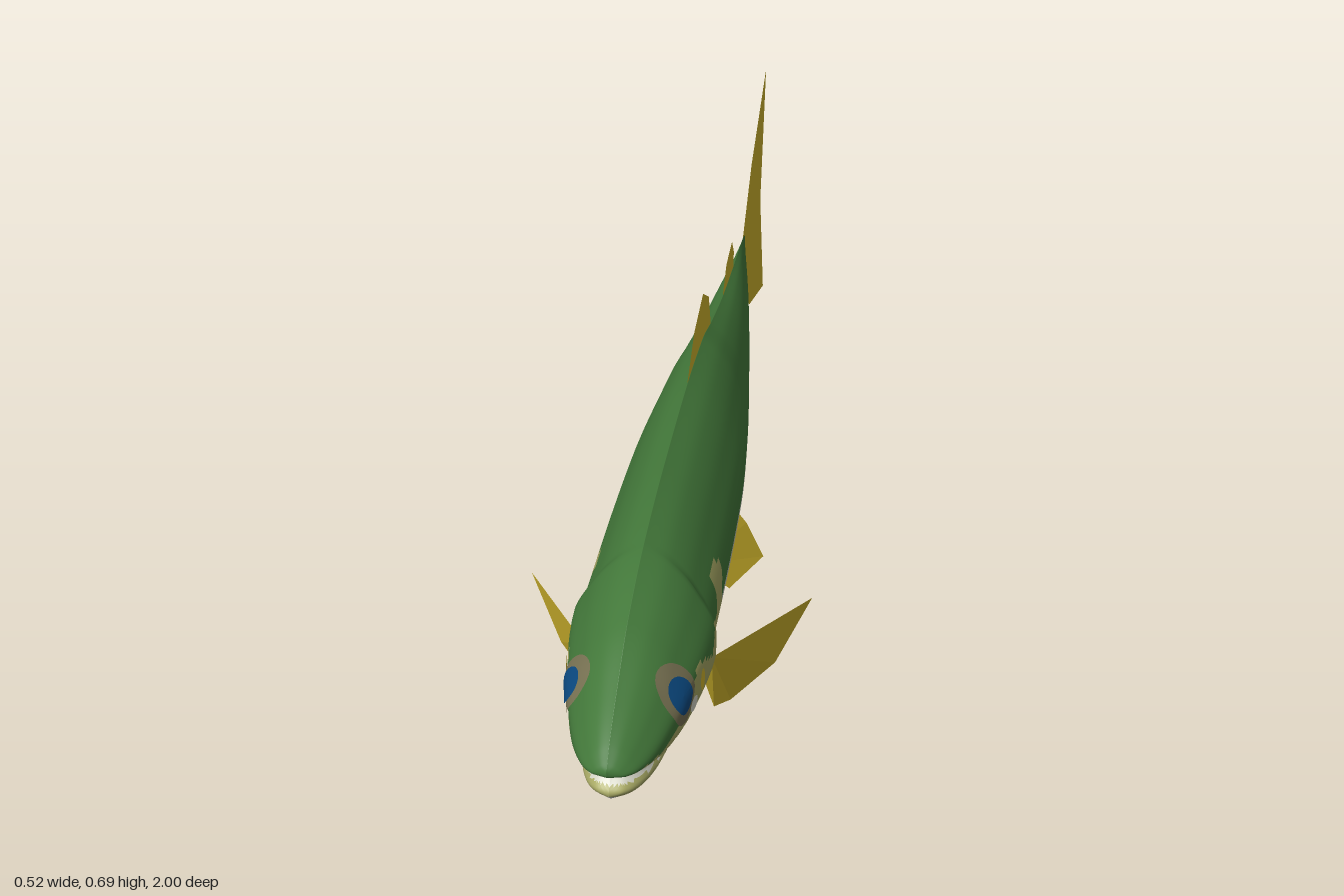
import * as THREE from 'three';

const mat = (name, color, side = THREE.FrontSide) => {
  const m = new THREE.MeshStandardMaterial({ color, side });
  m.name = name;
  return m;
};

// Smooth monotone curve through [position, value] pairs in ascending order
function curve(pts) {
  const n = pts.length - 1;
  const d = pts.slice(1).map((p, i) => (p[1] - pts[i][1]) / (p[0] - pts[i][0]));
  const tan = pts.map((_, i) => {
    if (i === 0) return d[0];
    if (i === n) return d[n - 1];
    return d[i - 1] * d[i] > 0 ? (2 * d[i - 1] * d[i]) / (d[i - 1] + d[i]) : 0;
  });
  return (x) => {
    let i = 0;
    while (i < n - 1 && x > pts[i + 1][0]) i++;
    const h = pts[i + 1][0] - pts[i][0];
    const t = THREE.MathUtils.clamp((x - pts[i][0]) / h, 0, 1);
    const t2 = t * t, t3 = t2 * t;
    return (2 * t3 - 3 * t2 + 1) * pts[i][1] + (t3 - 2 * t2 + t) * h * tan[i]
      + (3 * t2 - 2 * t3) * pts[i + 1][1] + (t3 - t2) * h * tan[i + 1];
  };
}

// Body outline along z, and the section's width from top (0) to bottom (1)
const top = curve([[-0.64, 0.445], [-0.6, 0.457], [-0.45, 0.468], [-0.3, 0.482], [-0.12, 0.515], [0, 0.543],
  [0.2, 0.555], [0.45, 0.547], [0.65, 0.525], [0.8, 0.482], [0.9, 0.425], [0.97, 0.375], [1, 0.34]]);
const bottom = curve([[-0.64, 0.34], [-0.6, 0.315], [-0.45, 0.297], [-0.3, 0.252], [-0.12, 0.192], [0, 0.161],
  [0.2, 0.147], [0.45, 0.153], [0.65, 0.17], [0.8, 0.198], [0.9, 0.226], [0.95, 0.246], [0.985, 0.275], [1, 0.31]]);
const width = curve([[-0.64, 0], [-0.6, 0.008], [-0.4, 0.04], [-0.2, 0.067], [0, 0.09], [0.2, 0.105], [0.4, 0.11],
  [0.64, 0.112], [0.655, 0.122], [0.7, 0.119], [0.8, 0.103], [0.9, 0.078], [0.96, 0.053], [0.99, 0.03], [1, 0]]);
const section = curve([[0, 0], [0.09, 0.38], [0.23, 0.72], [0.45, 1], [0.58, 1], [0.77, 0.82], [0.87, 0.6], [1, 0]]);
const halfWidth = (z, y) => width(z) * section((top(z) - y) / (top(z) - bottom(z)));

// Mouth line, colour boundaries
const mouthY = curve([[0.79, 0.258], [0.85, 0.276], [0.92, 0.292], [1, 0.308]]);
const backEdge = curve([[-0.64, 0.36], [-0.45, 0.348], [-0.2, 0.325], [0.5, 0.328], [0.65, 0.335], [0.655, 0.385],
  [0.69, 0.34], [0.76, 0.375], [0.82, 0.325], [0.9, 0.318], [1, 0.325]]);
const chinEdge = curve([[0.64, 0.2], [0.8, 0.222], [0.93, 0.25], [1, 0.285]]);
const mouthDepth = (z, y) => z < 0.79 ? 0
  : Math.exp(-(((y - mouthY(z)) / 0.013) ** 2)) * THREE.MathUtils.smoothstep(z, 0.79, 0.84);

// Material slot: 0 back, 1 belly, 2 olive, 3 mouth dark, 4 mouth pale
function bodySlot(z, y) {
  if (mouthDepth(z, y) > 0.5) return y > mouthY(z) + 0.002 ? 3 : 4;
  if (z < -0.615 || (z < -0.53 && y < 0.36)) return y > 0.42 ? 0 : 2;
  if (z > 0.65) return y > backEdge(z) ? 0 : y > chinEdge(z) ? 2 : 1;
  if (z > 0.5 && z < 0.575 && y > 0.285 && y < 0.41) return 2;
  if (z >= 0.575 && y > 0.27 && y < 0.335) return 2;
  return y > backEdge(z) ? 0 : 1;
}

function bodyGeometry() {
  const half = 44, cols = half * 2, rows = 190;
  const zs = [], ss = [], pos = [];
  for (let i = 0; i <= rows; i++) zs.push(-0.64 + 1.64 * (1 - (i / rows) ** 1.7));
  for (let j = 0; j < cols; j++) ss.push((1 - Math.cos((Math.PI * j) / half)) / 2);
  const yAt = (z, s) => top(z) + (bottom(z) - top(z)) * s;
  for (const z of zs) {
    for (let j = 0; j < cols; j++) {
      const y = yAt(z, ss[j]), g = mouthDepth(z, y);
      const x = (j <= half ? 1 : -1) * width(z) * section(ss[j]);
      pos.push(x * (1 - 0.3 * g), y, z - 0.03 * g * THREE.MathUtils.smoothstep(z, 0.9, 1));
    }
  }
  const slots = [[], [], [], [], []];
  for (let i = 0; i < rows; i++) {
    for (let j = 0; j < cols; j++) {
      const k = (j + 1) % cols;
      const a = i * cols + j, b = a + cols, c = i * cols + k, d = c + cols;
      const z = (zs[i] + zs[i + 1]) / 2;
      slots[bodySlot(z, yAt(z, (ss[j] + ss[k]) / 2))].push(a, c, b, c, d, b);
    }
  }
  const geo = new THREE.BufferGeometry();
  geo.setAttribute('position', new THREE.Float32BufferAttribute(pos, 3));
  geo.setIndex(slots.flat());
  let start = 0;
  slots.forEach((s, i) => { geo.addGroup(start, s.length, i); start += s.length; });
  geo.computeVertexNormals();
  return geo;
}

// Thin oval plate lying on the body's side
function patch(side, zc, yc, rz, ry, lift) {
  const geo = new THREE.RingGeometry(0, 1, 32, 4), p = geo.attributes.position;
  for (let i = 0; i < p.count; i++) {
    const z = zc - side * p.getX(i) * rz, y = yc + p.getY(i) * ry;
    p.setXYZ(i, side * (halfWidth(z, y) + lift), y, z);
  }
  geo.computeVertexNormals();
  return geo;
}

// Flat fin on the centre line from [z, y] corners
const medianFin = (pts) =>
  new THREE.ShapeGeometry(new THREE.Shape(pts.map((p) => new THREE.Vector2(...p)))).rotateY(-Math.PI / 2);

// Paired fin as a fan of [x, y, z] corners
function pairedFin(pts, side) {
  const pos = [];
  for (let i = 1; i < pts.length - 1; i++)
    for (const [x, y, z] of [pts[0], pts[i], pts[i + 1]]) pos.push(side * x, y, z);
  const geo = new THREE.BufferGeometry();
  geo.setAttribute('position', new THREE.Float32BufferAttribute(pos, 3));
  geo.computeVertexNormals();
  return geo;
}

export function createModel() {
  const fish = new THREE.Group();
  fish.name = 'fish';
  const back = mat('back green', 0x447a3b), belly = mat('belly grey', 0xc6c9bc);
  const olive = mat('cheek olive', 0xaaab66), mouthDark = mat('mouth dark', 0x4a4430);
  const mouthPale = mat('mouth pale', 0xd6d6c8), finYellow = mat('fin yellow', 0xd6ba2e, THREE.DoubleSide);
  const eyeRing = mat('eye ring', 0x7a7454), pupil = mat('eye blue', 0x0b4a82);
  const add = (name, geo, material) => {
    const mesh = new THREE.Mesh(geo, material);
    mesh.name = name;
    fish.add(mesh);
  };

  add('body', bodyGeometry(), [back, belly, olive, mouthDark, mouthPale]);

  // Fins on the centre line
  const median = {
    dorsalFin: [[0.2, 0.545], [0.1, 0.615], [-0.01, 0.637], [-0.085, 0.59], [-0.115, 0.505]],
    adiposeFin: [[-0.27, 0.475], [-0.335, 0.53], [-0.42, 0.54], [-0.45, 0.5], [-0.44, 0.46]],
    tailFin: [[-0.59, 0.45], [-0.737, 0.57], [-0.985, 0.695], [-0.915, 0.4], [-1, 0.125], [-0.737, 0.217], [-0.59, 0.315]],
    analFin: [[-0.115, 0.205], [-0.26, 0.1], [-0.415, 0.073], [-0.38, 0.195], [-0.45, 0.3]],
  };
  for (const [name, pts] of Object.entries(median)) add(name, medianFin(pts), finYellow);

  // Paired fins and eyes
  const pectoral = [[0.11, 0.28, 0.625], [0.26, 0.247, 0.39], [0.2, 0.126, 0.435], [0.127, 0.083, 0.5],
    [0.11, 0.145, 0.595], [0.095, 0.235, 0.625]];
  const pelvic = [[0.018, 0.155, 0.2], [0.075, 0.06, 0.14], [0.12, 0.002, -0.055], [0.083, 0.08, -0.06],
    [0.033, 0.165, -0.04]];
  for (const [label, side] of [['left', 1], ['right', -1]]) {
    add(label + 'PectoralFin', pairedFin(pectoral, side), finYellow);
    add(label + 'PelvicFin', pairedFin(pelvic, side), finYellow);
    add(label + 'EyeRing', patch(side, 0.835, 0.37, 0.042, 0.054, 0.003), eyeRing);
    add(label + 'EyePupil', patch(side, 0.837, 0.37, 0.028, 0.032, 0.006), pupil);
    add(label + 'EyeGlint', patch(side, 0.8, 0.325, 0.016, 0.013, 0.004), mouthPale);
    add(label + 'CheekSpot', patch(side, 0.755, 0.34, 0.01, 0.022, 0.003), finYellow);
  }
  return fish;
}
